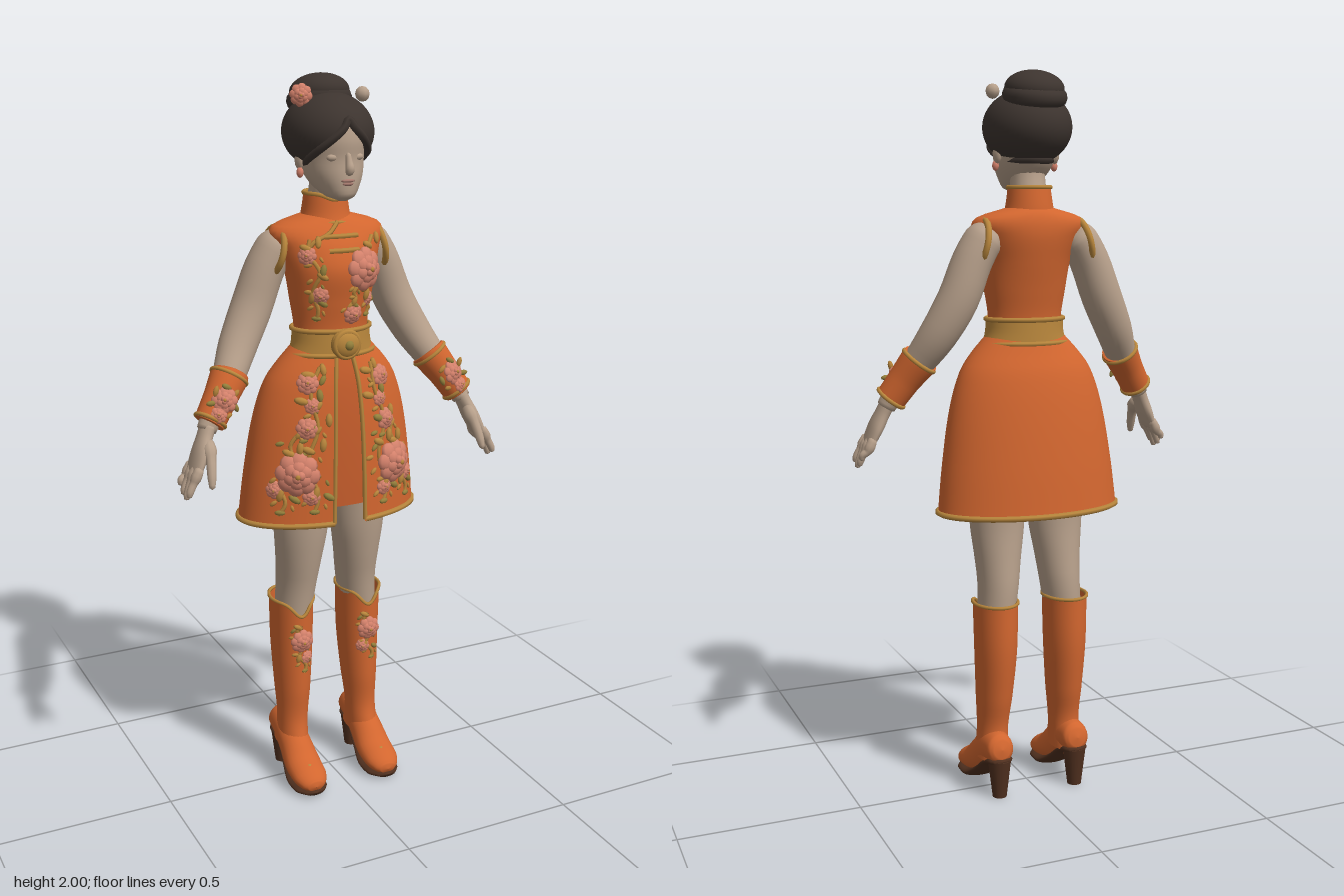
import * as THREE from 'three';

const V = (x, y, z) => new THREE.Vector3(x, y, z);
const mat = (name, color, double) => new THREE.MeshStandardMaterial({ name, color, side: double ? THREE.DoubleSide : THREE.FrontSide });
const M = {
  orange: mat('orange cloth', 0xd2662f, true), gold: mat('gold trim', 0xb8863c), skin: mat('skin', 0xb7a08b),
  hair: mat('dark hair', 0x3d342f, true), pink: mat('pink petals', 0xd5826c), leaf: mat('olive leaf', 0x94803c),
  sole: mat('dark sole', 0x50301f), lip: mat('lips', 0xa87c70), rust: mat('inner panel', 0xc45c2b, true),
};
const TAU = Math.PI * 2, ball = new THREE.SphereGeometry(1, 8, 6), bigBall = new THREE.SphereGeometry(1, 32, 20);

function mesh(parent, name, geo, m) {
  const o = new THREE.Mesh(geo, m);
  o.name = name;
  parent.add(o);
  return o;
}
function blob(parent, name, m, p, s, geo = ball) {
  const o = mesh(parent, name, geo, m);
  o.position.set(...p);
  o.scale.set(...s);
  return o;
}
// Smooth sheet from a rule fn(u, v), u runs round and v runs along
function sheet(fn, nu, nv, closed = true) {
  const pos = [], idx = [], w = closed ? nu : nu + 1;
  for (let j = 0; j <= nv; j++) for (let i = 0; i < w; i++) pos.push(...fn(i / nu, j / nv).toArray());
  for (let j = 0; j < nv; j++) for (let i = 0; i < nu; i++) {
    const a = j * w + i, b = j * w + (i + 1) % w;
    idx.push(a, b, b + w, a, b + w, a + w);
  }
  const g = new THREE.BufferGeometry();
  g.setAttribute('position', new THREE.Float32BufferAttribute(pos, 3));
  g.setIndex(idx);
  g.computeVertexNormals();
  return g;
}
// Body surface at(angle, y) from rows [y, half width, front z, back z, centre x]
function body(rows) {
  const slope = (i, k) => {
    const a = rows[Math.max(i - 1, 0)], b = rows[Math.min(i + 1, rows.length - 1)];
    return (b[k] - a[k]) / (b[0] - a[0]);
  };
  return (t, y) => {
    let i = 0;
    while (i < rows.length - 2 && y > rows[i + 1][0]) i++;
    const a = rows[i], b = rows[i + 1], h = b[0] - a[0], s = (y - a[0]) / h, s2 = s * s, s3 = s2 * s;
    const f = k => a[k] * (2 * s3 - 3 * s2 + 1) + b[k] * (3 * s2 - 2 * s3) + h * (slope(i, k) * (s3 - 2 * s2 + s) + slope(i + 1, k) * (s3 - s2));
    return V((a.length > 4 ? f(4) : 0) + f(1) * Math.sin(t), y, (f(2) + f(3)) / 2 + (f(2) - f(3)) / 2 * Math.cos(t));
  };
}
const loft = (at, y0, y1, nv = 24) => sheet((u, v) => at(u * TAU, y0 + (y1 - y0) * v), 40, nv);
// Rounded limb along points [x, y, z, thickness, width]
function sweep(pts, ref = V(0, 0, 1), nu = 16, nv = 24) {
  const path = new THREE.CatmullRomCurve3(pts.map(p => V(p[0], p[1], p[2])));
  const size = new THREE.CatmullRomCurve3(pts.map(p => V(p[3], p[4] ?? p[3], 0)));
  return sheet((u, v) => {
    const T = path.getTangent(v), a = ref.clone().cross(T).normalize(), b = T.clone().cross(a), r = size.getPoint(v);
    const end = v < 0.001 || v > 0.999 ? 0.02 : 1;
    return path.getPoint(v).addScaledVector(a, r.x * end * Math.cos(u * TAU)).addScaledVector(b, r.y * end * Math.sin(u * TAU));
  }, nu, nv);
}
function cord(parent, name, pts, r, m = M.gold, closed = false) {
  mesh(parent, name, new THREE.TubeGeometry(new THREE.CatmullRomCurve3(pts, closed), pts.length * 2, r, 6, closed), m);
}
function ring(parent, name, p, dir, R, r) {
  const o = mesh(parent, name, new THREE.TorusGeometry(R, r, 8, 32), M.gold);
  o.position.set(...p);
  o.quaternion.setFromUnitVectors(V(0, 0, 1), dir.clone().normalize());
  return o;
}
const around = (fn, n = 40, a = 0, b = TAU) => Array.from({ length: n + 1 }, (_, i) => fn(a + (b - a) * i / n));

// Layered blossom facing +z
function flower(r) {
  const g = new THREE.Group();
  g.name = 'blossom';
  [[8, 0.66, 0.4, 0.1], [6, 0.38, 0.33, 0.25], [3, 0.14, 0.22, 0.4]].forEach(([n, d, s, z]) => {
    for (let i = 0; i < n; i++) {
      const a = i / n * TAU + d;
      blob(g, 'petal', M.pink, [r * d * Math.cos(a), r * d * Math.sin(a), r * z], [r * s, r * s, r * 0.2]).rotation.set(-0.3 * Math.sin(a), 0.3 * Math.cos(a), 0);
    }
  });
  blob(g, 'flower heart', M.gold, [0, 0, r * 0.55], [r * 0.13, r * 0.13, r * 0.1]);
  return g;
}
function leaf(r, m, turn) {
  const g = new THREE.Group();
  g.name = 'leaf';
  blob(g, 'leaf blade', m, [0, 0, r * 0.15], [r, r * 0.5, r * 0.4]).rotation.z = turn;
  return g;
}
// Lay an ornament on a body surface
function attach(parent, at, t, y, o) {
  const p = at(t, y), e = 0.004;
  const n = at(t + e, y).sub(at(t - e, y)).cross(at(t, y + e).sub(at(t, y - e))).normalize();
  o.position.copy(p);
  o.quaternion.setFromUnitVectors(V(0, 0, 1), n);
  parent.add(o);
}
function vine(parent, at, t0, y0, t1, y1, n, spread, r) {
  const mid = k => t0 + (t1 - t0) * k + Math.sin(k * 13) * spread * 0.4;
  cord(parent, 'vine', Array.from({ length: 14 }, (_, i) => at(mid(i / 13), y0 + (y1 - y0) * i / 13)), 0.006);
  for (let i = 0; i < n; i++) {
    const k = (i + 0.5) / n;
    attach(parent, at, mid(k) + spread * Math.sin(i * 2.4), y0 + (y1 - y0) * k, leaf(r * (0.8 + 0.3 * Math.sin(i * 5)), i % 3 ? M.gold : M.leaf, i * 1.9));
  }
}

function head(root) {
  const g = new THREE.Group();
  g.name = 'head';
  root.add(g);
  const face = body([[1.683, 0.008, 0.095, 0.075], [1.692, 0.034, 0.111, 0.03], [1.715, 0.056, 0.117, -0.03], [1.75, 0.075, 0.117, -0.07],
    [1.79, 0.083, 0.113, -0.09], [1.84, 0.087, 0.116, -0.1], [1.89, 0.075, 0.1, -0.09], [1.93, 0.03, 0.04, -0.05]]);
  mesh(g, 'face', loft(face, 1.683, 1.93), M.skin);
  mesh(g, 'neck', sweep([[0, 1.58, -0.03, 0.055], [0, 1.66, -0.02, 0.05], [0, 1.72, -0.008, 0.048], [0, 1.78, 0, 0.05]]), M.skin);
  mesh(g, 'nose', sweep([[0, 1.808, 0.112, 0.006, 0.008], [0, 1.785, 0.121, 0.009, 0.009], [0, 1.765, 0.126, 0.012, 0.012], [0, 1.757, 0.115, 0.008, 0.01]], V(0, 0, 1), 12, 12), M.skin);
  blob(g, 'upper lip', M.lip, [0, 1.737, 0.115], [0.02, 0.005, 0.007]);
  blob(g, 'lower lip', M.lip, [0, 1.729, 0.114], [0.017, 0.006, 0.007]);
  for (const s of [-1, 1]) {
    blob(g, 'eyelid', M.skin, [s * 0.034, 1.795, 0.097], [0.019, 0.01, 0.011]);
    blob(g, 'ear', M.skin, [s * 0.084, 1.785, 0], [0.012, 0.028, 0.018]);
    blob(g, 'earring', M.pink, [s * 0.086, 1.752, 0.008], [0.01, 0.014, 0.01]);
  }
  // Hair swept back from a pointed parting
  const limit = t => 1.2 + 1.38 * Math.min(1, Math.abs(t) / 1.5) ** 0.8;
  const hairAt = (t, p) => V(0.118 * Math.sin(p) * Math.sin(t), 1.853 + 0.102 * Math.cos(p), -0.006 + 0.137 * Math.sin(p) * Math.cos(t));
  mesh(g, 'hair', sheet((u, v) => { const t = (u - 0.5) * TAU; return hairAt(t, limit(t) * (1 - v) + 0.005); }, 56, 24), M.hair);
  cord(g, 'hairline roll', around(t => hairAt(t, limit(t)).multiply(V(0.97, 1, 0.97)), 48, -Math.PI, Math.PI).slice(0, -1), 0.011, M.hair, true);
  const bun = blob(g, 'bun', M.hair, [0, 1.951, -0.056], [0.08, 0.048, 0.08], bigBall);
  bun.rotation.x = -0.15;
  const coil = mesh(g, 'bun coil', new THREE.TorusGeometry(0.06, 0.027, 12, 36), M.hair);
  coil.position.set(0, 1.932, -0.058);
  coil.rotation.x = Math.PI / 2 - 0.2;
  const f = flower(0.029);
  f.position.set(-0.086, 1.947, 0.016);
  f.rotation.set(0, -0.4, 0);
  g.add(f);
  blob(g, 'hair pearl', M.skin, [0.093, 1.946, 0.01], [0.02, 0.02, 0.02]);
}

function dress(root) {
  const g = new THREE.Group();
  g.name = 'dress';
  root.add(g);
  const torso = body([[1.28, 0.11, 0.092, -0.066], [1.34, 0.104, 0.088, -0.064], [1.42, 0.115, 0.1, -0.078], [1.5, 0.128, 0.112, -0.095],
    [1.56, 0.148, 0.095, -0.106], [1.595, 0.163, 0.075, -0.106], [1.618, 0.145, 0.058, -0.1], [1.634, 0.09, 0.045, -0.09], [1.645, 0.05, 0.03, -0.07]]);
  mesh(g, 'bodice', loft(torso, 1.28, 1.645, 36), M.orange);
  const collar = body([[1.605, 0.078, 0.058, -0.09], [1.64, 0.066, 0.046, -0.087], [1.695, 0.058, 0.037, -0.077]]);
  mesh(g, 'collar', loft(collar, 1.605, 1.695, 8), M.orange);
  cord(g, 'collar trim', around(t => collar(t, 1.695 - 0.014 * Math.max(0, Math.cos(t)) ** 8)).slice(0, -1), 0.006, M.gold, true);
  cord(g, 'collar seam', around(t => collar(t, 1.622)).slice(0, -1), 0.005, M.gold, true);
  const belt = body([[1.272, 0.122, 0.1, -0.074], [1.305, 0.112, 0.099, -0.072], [1.345, 0.11, 0.096, -0.07]]);
  mesh(g, 'belt', loft(belt, 1.272, 1.345, 6), M.gold);
  for (const y of [1.276, 1.341]) cord(g, 'belt edge', around(t => belt(t, y)).slice(0, -1), 0.007, M.gold, true);
  blob(g, 'buckle', M.gold, [0, 1.308, 0.105], [0.042, 0.04, 0.025], bigBall);
  ring(g, 'buckle rim', [0, 1.308, 0.113], V(0, 0, 1), 0.034, 0.008);
  blob(g, 'buckle stone', M.leaf, [0, 1.308, 0.126], [0.014, 0.014, 0.012]);

  // Skirt open at the front over an inner panel
  const skirt = body([[0.81, 0.263, 0.138, -0.167], [0.95, 0.247, 0.137, -0.153], [1.1, 0.222, 0.13, -0.131], [1.2, 0.19, 0.118, -0.108],
    [1.25, 0.155, 0.106, -0.086], [1.3, 0.108, 0.09, -0.066]]);
  const slit = 0.18;
  mesh(g, 'skirt', sheet((u, v) => skirt(slit + u * (TAU - 2 * slit), 0.81 + 0.49 * v), 60, 24, false), M.orange);
  mesh(g, 'inner panel', sheet((u, v) => skirt((u - 0.5) * 0.9, 0.86 + 0.43 * v).add(V(0, 0, -0.013)), 12, 16, false), M.rust);
  cord(g, 'hem trim', around(t => skirt(t, 0.816), 60, slit, TAU - slit), 0.008);
  for (const s of [-1, 1]) {
    cord(g, 'skirt edge', around(y => skirt(s * slit, y), 12, 0.816, 1.28), 0.006);
    vine(g, skirt, s * 0.42, 0.85, s * 0.5, 1.25, 30, 0.15, 0.019);
    vine(g, skirt, s * 0.85, 0.85, s * 0.66, 1.08, 18, 0.16, 0.019);
    [[0.63, 0.965, 0.06], [0.45, 0.9, 0.025], [0.55, 1.09, 0.03], [0.62, 1.21, 0.03], [0.5, 1.15, 0.022], [0.92, 0.92, 0.025]]
      .forEach(([t, y, r]) => attach(g, skirt, s * t, y, flower(r)));
    // Armhole binding
    const hole = ring(g, 'armhole trim', [s * 0.15, 1.548, -0.028], V(s, 0.22, 0), 0.064, 0.009);
    hole.scale.set(1.08, 1, 1);
    // Chest embroidery
    vine(g, torso, s * 0.75, 1.37, s * 0.6, 1.585, 15, 0.2, 0.017);
  }
  vine(g, torso, 0.1, 1.37, 0.3, 1.46, 8, 0.15, 0.015);
  [[0.42, 1.505, 0.056], [-0.75, 1.545, 0.025], [-0.6, 1.44, 0.024], [0.25, 1.385, 0.028], [0.75, 1.42, 0.02]]
    .forEach(([t, y, r]) => attach(g, torso, t, y, flower(r)));
  cord(g, 'front closure', [[0, 1.625], [-0.2, 1.598], [-0.55, 1.575], [-0.9, 1.53]].map(([t, y]) => torso(t, y)), 0.006);
  for (const y of [1.59, 1.555]) cord(g, 'knot button', [-0.3, 0, 0.3].map(t => torso(t, y)), 0.007);
}

function arm(root, s) {
  const g = new THREE.Group();
  g.name = s > 0 ? 'leftArm' : 'rightArm';
  root.add(g);
  const limb = (name, pts, m, nu, nv) => mesh(g, name, sweep(pts.map(([x, ...p]) => [s * x, ...p]), V(0, 0, 1), nu, nv), m);
  limb('arm', [[0.115, 1.585, -0.035, 0.035], [0.14, 1.555, -0.035, 0.052, 0.058], [0.172, 1.5, -0.036, 0.054, 0.058], [0.212, 1.4, -0.034, 0.056],
    [0.262, 1.305, -0.012, 0.052], [0.312, 1.22, 0.03, 0.042], [0.37, 1.135, 0.06, 0.029], [0.39, 1.1, 0.068, 0.025]], M.skin, 28, 28);
  limb('cuff', [[0.298, 1.242, 0.022, 0.05], [0.303, 1.234, 0.026, 0.051], [0.338, 1.183, 0.046, 0.045], [0.372, 1.132, 0.062, 0.042], [0.377, 1.125, 0.064, 0.041]], M.orange, 28, 24);
  const dir = V(s * 0.55, -0.8, 0.27);
  ring(g, 'cuff trim', [s * 0.303, 1.234, 0.026], dir, 0.049, 0.006);
  ring(g, 'cuff trim', [s * 0.372, 1.132, 0.062], dir, 0.041, 0.006);
  [[0.342, 1.19, 0.09, 0.034], [0.362, 1.155, 0.098, 0.022]].forEach(([x, y, z, r]) => {
    const f = flower(r);
    f.position.set(s * x, y, z);
    f.rotation.set(-0.3, s * 0.3, 0);
    g.add(f);
  });
  for (let i = 0; i < 7; i++) {
    const l = leaf(0.015, i % 2 ? M.gold : M.leaf, i * 1.3);
    l.position.set(s * (0.342 + 0.035 * Math.cos(i * 0.9)), 1.185 + 0.04 * Math.sin(i * 0.9), 0.085);
    g.add(l);
  }
  limb('palm', [[0.378, 1.125, 0.064, 0.022, 0.026], [0.392, 1.095, 0.071, 0.02, 0.029], [0.412, 1.05, 0.082, 0.019, 0.042], [0.43, 1.01, 0.088, 0.014, 0.042], [0.436, 0.998, 0.089, 0.008, 0.036]], M.skin, 20, 20);
  for (let i = 0; i < 4; i++) {
    const z = 0.055 + 0.022 * i, y = [0.965, 0.946, 0.938, 0.95][i];
    limb('finger', [[0.423, 1.03, z, 0.011], [0.443, 0.99, z, 0.011], [0.456, y + 0.015, z + 0.003, 0.01], [0.459, y, z + 0.004, 0.006]], M.skin, 10, 16);
  }
  limb('thumb', [[0.39, 1.09, 0.085, 0.014], [0.396, 1.05, 0.122, 0.014], [0.403, 1.005, 0.146, 0.012], [0.407, 0.975, 0.157, 0.007]], M.skin, 10, 16);
}

function leg(root, s) {
  const g = new THREE.Group();
  g.name = s > 0 ? 'leftLeg' : 'rightLeg';
  root.add(g);
  const thigh = body([[0.48, 0.05, 0.035, -0.085, s * 0.105], [0.6, 0.056, 0.05, -0.088, s * 0.094], [0.67, 0.063, 0.064, -0.082, s * 0.091],
    [0.78, 0.077, 0.08, -0.075, s * 0.088], [1.0, 0.086, 0.09, -0.085, s * 0.088], [1.2, 0.07, 0.07, -0.07, s * 0.075]]);
  mesh(g, 'leg', loft(thigh, 0.48, 1.2), M.skin);
  const shaft = body([[0.1, 0.044, 0.06, -0.092, s * 0.114], [0.18, 0.043, 0.038, -0.066, s * 0.111], [0.28, 0.05, 0.044, -0.085, s * 0.108],
    [0.42, 0.058, 0.046, -0.104, s * 0.106], [0.56, 0.061, 0.05, -0.105, s * 0.106]]);
  const top = t => 0.555 - 0.04 * Math.max(0, Math.cos(t)) ** 8;
  mesh(g, 'boot shaft', sheet((u, v) => shaft(u * TAU, 0.1 + (top(u * TAU) - 0.1) * v), 40, 24), M.orange);
  cord(g, 'boot trim', around(t => shaft(t, top(t))).slice(0, -1), 0.005, M.gold, true);
  const x = s * 0.116, X = V(1, 0, 0);
  mesh(g, 'boot foot', sweep([[x, 0.145, -0.106, 0.02, 0.02], [x, 0.142, -0.09, 0.042, 0.038], [x, 0.135, -0.04, 0.05, 0.043], [x, 0.1, 0.015, 0.05, 0.046],
    [x, 0.062, 0.07, 0.04, 0.052], [x, 0.045, 0.12, 0.032, 0.05], [x, 0.036, 0.15, 0.022, 0.036], [x, 0.034, 0.164, 0.012, 0.018]], X, 24, 30), M.orange);
  mesh(g, 'sole', sweep([[x, 0.11, -0.11, 0.008, 0.02], [x, 0.108, -0.085, 0.014, 0.037], [x, 0.088, -0.035, 0.011, 0.036], [x, 0.046, 0.02, 0.012, 0.042],
    [x, 0.016, 0.075, 0.014, 0.051], [x, 0.014, 0.125, 0.013, 0.05], [x, 0.017, 0.166, 0.01, 0.022]], X, 20, 30), M.sole);
  const heel = mesh(g, 'heel', new THREE.CylinderGeometry(0.033, 0.02, 0.108, 20), M.sole);
  heel.position.set(x, 0.054, -0.081);
  // Boot embroidery
  vine(g, shaft, 0.12, 0.34, -0.12, 0.49, 14, 0.4, 0.014);
  attach(g, shaft, 0, 0.44, flower(0.034));
  attach(g, shaft, -s * 0.3, 0.385, flower(0.02));
  for (let i = -2; i <= 2; i++) blob(g, 'toe trim', M.gold, [x + i * 0.016, 0.077 - Math.abs(i) * 0.006, 0.112 - Math.abs(i) * 0.006], [0.01, 0.006, 0.01]);
}

export function createModel() {
  const root = new THREE.Group();
  root.name = 'figure';
  head(root);
  dress(root);
  for (const s of [-1, 1]) {
    arm(root, s);
    leg(root, s);
  }
  return root;
}
